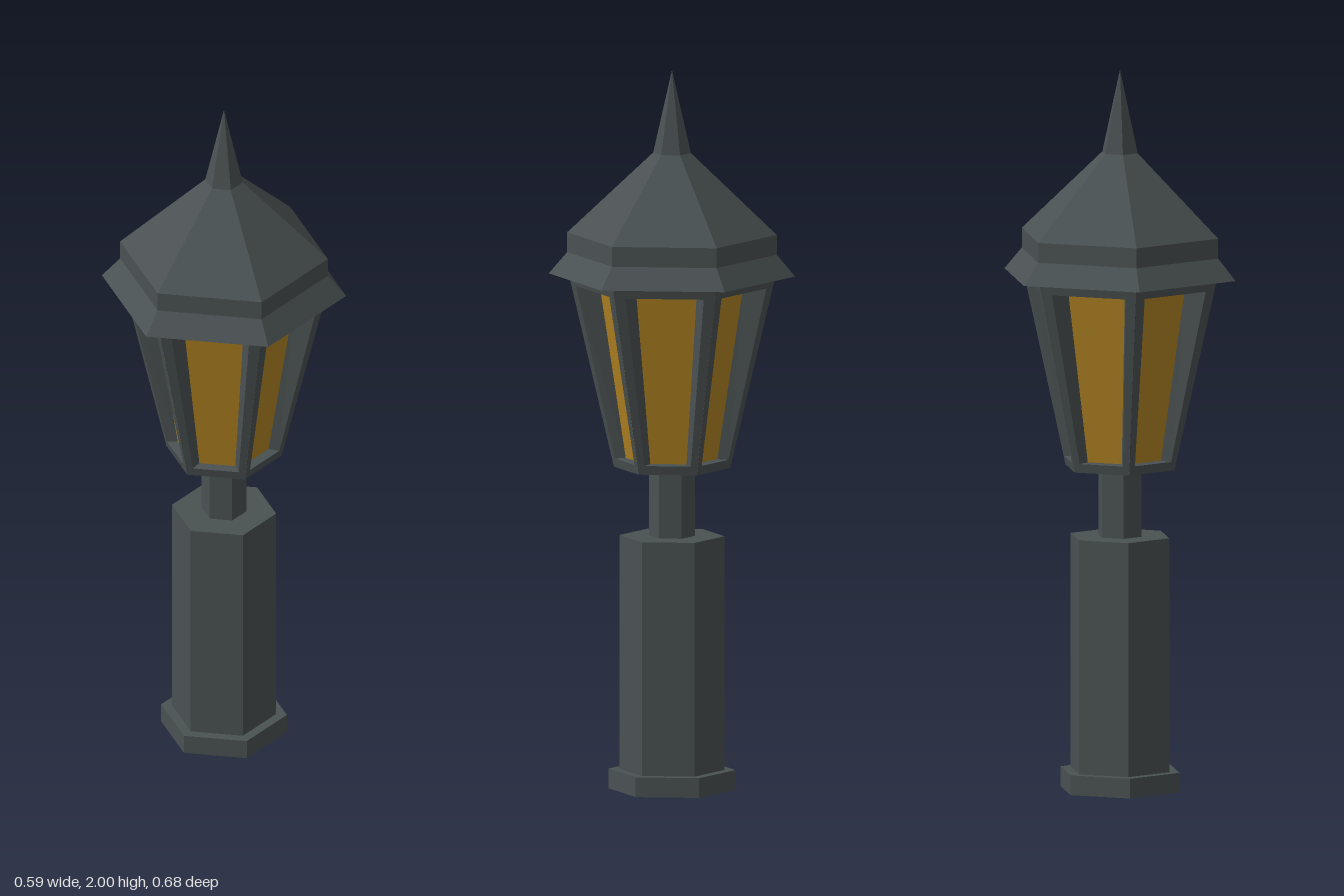
import * as THREE from 'three';

const metal = new THREE.MeshStandardMaterial({ color: 0x4a5152 });
metal.name = 'dark metal';
const amber = new THREE.MeshStandardMaterial({ color: 0xb08222 });
amber.name = 'amber glass';

// Six-sided section with a corner pointing to the front
function hexSection(name, rBottom, rTop, y0, y1, open = false) {
  const geo = new THREE.CylinderGeometry(rTop, rBottom, y1 - y0, 6, 1, open).toNonIndexed();
  geo.computeVertexNormals();
  const mesh = new THREE.Mesh(geo, metal);
  mesh.name = name;
  mesh.position.y = (y0 + y1) / 2;
  return mesh;
}

// Flat-shaded mesh from four-cornered faces
function quadMesh(name, quads, material) {
  const pts = quads.flatMap(([a, b, c, d]) => [a, b, c, a, c, d]);
  const geo = new THREE.BufferGeometry();
  geo.setAttribute('position', new THREE.Float32BufferAttribute(pts.flat(), 3));
  geo.computeVertexNormals();
  const mesh = new THREE.Mesh(geo, material);
  mesh.name = name;
  return mesh;
}

// Trapezoid facing +x: distance from the axis, height and half width at each end
function trapezoid([x0, y0, h0], [x1, y1, h1]) {
  return [[x0, y0, h0], [x0, y0, -h0], [x1, y1, -h1], [x1, y1, h1]];
}

function bridge(a, b) {
  return a.map((p, i) => [p, a[(i + 1) % 4], b[(i + 1) % 4], b[i]]);
}

// One side of the lantern: frame, splayed recess and pane
function lanternSide() {
  const side = new THREE.Group();
  const outer = trapezoid([0.139, 0.895, 0.08], [0.247, 1.43, 0.1425]);
  const opening = trapezoid([0.144, 0.92, 0.064], [0.241, 1.4, 0.108]);
  const pane = trapezoid([0.117, 0.922, 0.05], [0.18, 1.398, 0.083]);
  side.add(quadMesh('windowFrame', bridge(outer, opening), metal));
  side.add(quadMesh('windowRecess', bridge(opening, pane), metal));
  side.add(quadMesh('windowPane', [pane], amber));
  return side;
}

export function createModel() {
  const model = new THREE.Group();
  model.name = 'lampPost';

  // Post
  model.add(
    hexSection('base', 0.175, 0.175, 0, 0.055),
    hexSection('post', 0.145, 0.145, 0.055, 0.705),
    hexSection('neck', 0.063, 0.063, 0.705, 0.895)
  );

  // Lantern
  const lantern = new THREE.Group();
  lantern.name = 'lantern';
  lantern.add(hexSection('lanternFloor', 0.16, 0.161, 0.895, 0.899));
  for (let i = 0; i < 6; i++) {
    const side = lanternSide();
    side.name = 'lanternSide' + (i + 1);
    side.rotation.y = (i * Math.PI) / 3;
    lantern.add(side);
  }
  model.add(lantern);

  // Roof and spire
  const roof = new THREE.Group();
  roof.name = 'roof';
  roof.add(
    hexSection('eave', 0.34, 0.289, 1.43, 1.49),
    hexSection('roofBand', 0.289, 0.289, 1.49, 1.545, true),
    hexSection('roofSlope', 0.289, 0.052, 1.545, 1.77, true),
    hexSection('spire', 0.052, 0, 1.77, 2, true)
  );
  model.add(roof);
  return model;
}
